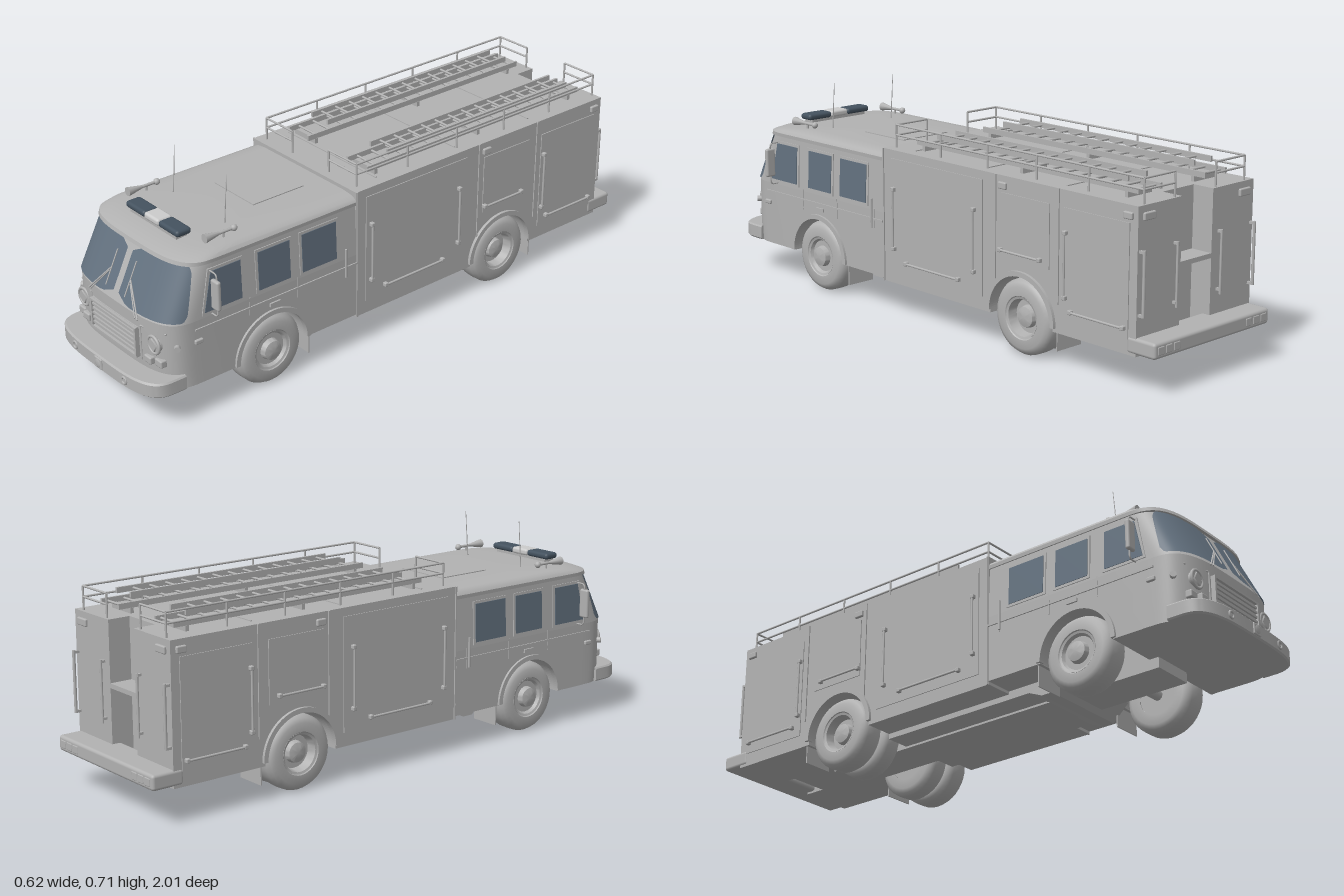
import * as THREE from 'three';
import { toCreasedNormals } from 'three/addons/utils/BufferGeometryUtils.js';
import { RoundedBoxGeometry } from 'three/addons/geometries/RoundedBoxGeometry.js';

const material = (name, color, side = THREE.FrontSide) => {
  const m = new THREE.MeshStandardMaterial({ color, side });
  m.name = name;
  return m;
};

export function createModel() {
  const root = new THREE.Group();
  root.name = 'fireEngine';
  const paint = material('grey paint', 0xb2b2b2);
  const glass = material('blue grey glass', 0x63717f, THREE.DoubleSide);
  const lens = material('dark blue lens', 0x44525f);
  const clear = material('clear lens', 0xcccccc);
  const N = 3.5, DEPTH = 0.14, SEG = 40;

  const add = (name, geo, mat = paint, x = 0, y = 0, z = 0) => {
    const m = new THREE.Mesh(geo, mat);
    m.name = name;
    m.position.set(x, y, z);
    root.add(m);
    return m;
  };
  const box = (name, x0, x1, y0, y1, z0, z1, mat = paint) =>
    add(name, new THREE.BoxGeometry(Math.abs(x1 - x0), y1 - y0, Math.abs(z1 - z0)), mat, (x0 + x1) / 2, (y0 + y1) / 2, (z0 + z1) / 2);
  const rounded = (name, w, h, d, r, x, y, z, mat = paint) =>
    add(name, new RoundedBoxGeometry(w, h, d, 2, r), mat, x, y, z);
  const bar = (name, a, b, r = 0.003, r2 = r, mat = paint) => {
    const p = new THREE.Vector3(...a), d = new THREE.Vector3(...b).sub(p);
    const m = add(name, new THREE.CylinderGeometry(r2, r, d.length(), 10), mat);
    m.position.copy(p).addScaledVector(d, 0.5);
    m.quaternion.setFromUnitVectors(new THREE.Vector3(0, 1, 0), d.normalize());
    return m;
  };
  const both = (fn) => [1, -1].forEach(fn);

  // Curved plan outline of the nose: half width w, foremost point zf
  const nosePoint = (t, w, zf, depth = DEPTH) => {
    const c = Math.cos(t), s = Math.max(0, Math.sin(t));
    return [Math.sign(c) * w * Math.abs(c) ** (2 / N), zf - depth + depth * s ** (2 / N)];
  };
  const cabAt = (y) => {
    const k = THREE.MathUtils.clamp((y - 0.34) / 0.175, 0, 1);
    return { w: 0.262 - 0.007 * k, zf: 0.93 - 0.085 * k };
  };
  const frontZ = (x, y) => {
    const { w, zf } = cabAt(y);
    return zf - DEPTH + DEPTH * (1 - (Math.abs(x) / w) ** N) ** (1 / N);
  };

  // Solid stacked from plan outlines, each level [y, w, zf, zb, depth]
  const loft = (name, levels) => {
    const rings = levels.map(([y, w, zf, zb, depth]) => {
      const r = [[w, y, zb]];
      for (let i = 0; i <= SEG; i++) {
        const [x, z] = nosePoint(Math.PI * i / SEG, w, zf, depth);
        r.push([x, y, z]);
      }
      r.push([-w, y, zb]);
      return r;
    });
    const pos = [], tri = (...p) => p.forEach((q) => pos.push(...q));
    const n = rings[0].length, top = rings.length - 1;
    const mid = (l) => [0, l[0], (l[2] + l[3]) / 2];
    for (let i = 0; i < n; i++) {
      const j = (i + 1) % n;
      for (let k = 0; k < top; k++) {
        tri(rings[k][i], rings[k + 1][j], rings[k][j]);
        tri(rings[k][i], rings[k + 1][i], rings[k + 1][j]);
      }
      tri(mid(levels[top]), rings[top][j], rings[top][i]);
      tri(mid(levels[0]), rings[0][i], rings[0][j]);
    }
    const g = new THREE.BufferGeometry();
    g.setAttribute('position', new THREE.Float32BufferAttribute(pos, 3));
    return add(name, toCreasedNormals(g, 0.6));
  };

  // Extrude a shape drawn in (-z, y) across x, from x0 to x0 + width
  const across = (shape, x0, width) =>
    new THREE.ExtrudeGeometry(shape, { depth: width, bevelEnabled: false, curveSegments: 28 }).rotateY(Math.PI / 2).translate(x0, 0, 0);
  const archedSide = (z0, z1, zw, y0, y1, r = 0.136, cy = 0.123) => {
    const s = new THREE.Shape(), c = -zw;
    s.moveTo(-z0, y0).lineTo(c - r, y0).lineTo(c - r, cy);
    s.absarc(c, cy, r, Math.PI, 0, true);
    s.lineTo(c + r, y0).lineTo(-z1, y0).lineTo(-z1, y1).lineTo(-z0, y1);
    return s;
  };

  // Cab
  loft('cabNose', [[0.12, 0.262, 0.925, 0.68], [0.18, 0.262, 0.93, 0.68], [0.34, 0.262, 0.93, 0.68]]);
  add('cabLowerSides', across(archedSide(0.68, 0.19, 0.53, 0.12, 0.34), -0.262, 0.524));
  loft('cabUpper', [[0.34, 0.262, 0.93, 0.19], [0.515, 0.255, 0.845, 0.19]]);
  loft('cabRoof', [[0.513, 0.259, 0.857, 0.19], [0.525, 0.26, 0.853, 0.19], [0.535, 0.253, 0.825, 0.19],
    [0.542, 0.235, 0.775, 0.19], [0.546, 0.2, 0.7, 0.19]]);
  box('roofHatch', -0.1, 0.1, 0.545, 0.549, 0.27, 0.47);

  // Wrapped windscreen halves with rounded corners
  both((s) => {
    const U = 24, V = 12, pos = [], idx = [];
    for (let i = 0; i <= U; i++) for (let j = 0; j <= V; j++) {
      const u = i / U, e = Math.max(0, 1 - Math.min(u, 1 - u) / 0.1);
      const inset = 0.02 * (1 - Math.sqrt(1 - e * e));
      const y = THREE.MathUtils.lerp(0.347 + inset, 0.512 - inset, j / V);
      const { w, zf } = cabAt(y), k = (y - 0.345) / 0.17;
      const end = Math.asin(((0.845 - 0.045 * k - zf + DEPTH) / DEPTH) ** (N / 2));
      const start = Math.acos((0.013 / w) ** (N / 2));
      const [x, z] = nosePoint(THREE.MathUtils.lerp(start, end, u), w + 0.003, zf + 0.004);
      pos.push(s * x, y, z);
      if (i < U && j < V) {
        const a = i * (V + 1) + j, b = a + V + 1;
        if (s > 0) idx.push(a, b, a + 1, b, b + 1, a + 1);
        else idx.push(a, a + 1, b, b, a + 1, b + 1);
      }
    }
    const g = new THREE.BufferGeometry();
    g.setAttribute('position', new THREE.Float32BufferAttribute(pos, 3));
    g.setIndex(idx);
    g.computeVertexNormals();
    add('windscreen', g, glass);
  });

  // Side windows with frames, leaning with the cab sides
  const leaningPlate = (name, s, zf0, zf1, zb, y0, y1, off, mat) => {
    const sh = new THREE.Shape([[-zf0, y0], [-zb, y0], [-zb, y1], [-zf1, y1]].map((p) => new THREE.Vector2(...p)));
    const g = across(sh, s > 0 ? 0.262 + off - 0.006 : -0.262 - off, 0.006), p = g.attributes.position;
    for (let i = 0; i < p.count; i++) p.setX(i, p.getX(i) - s * 0.04 * (p.getY(i) - 0.34));
    g.computeVertexNormals();
    add(name, g, mat);
  };
  both((s) => [[0.785, 0.755, 0.645], [0.58, 0.58, 0.458], [0.41, 0.41, 0.274]].forEach(([a, b, c]) => {
    leaningPlate('windowFrame', s, a + 0.009, b + 0.009, c - 0.009, 0.349, 0.496, 0.003, paint);
    leaningPlate('sideWindow', s, a, b, c, 0.358, 0.487, 0.005, glass);
  }));

  // Bumper and its lamps
  loft('frontBumper', [[0.12, 0.26, 0.995, 0.86, 0.11], [0.125, 0.264, 1, 0.86, 0.11], [0.165, 0.264, 1, 0.86, 0.11], [0.17, 0.26, 0.995, 0.86, 0.11]]);
  rounded('bumperPlate', 0.04, 0.038, 0.012, 0.004, 0, 0.145, 0.998);
  add('bumperSiren', new THREE.SphereGeometry(0.015, 16, 10).scale(1, 1, 0.4), paint, 0, 0.145, 1.003).scale.z = 0.5;
  both((s) => add('bumperLamp', new THREE.TorusGeometry(0.011, 0.004, 8, 16), paint, s * 0.133, 0.145, 0.997));

  // Grille
  const gz = 0.93;
  box('grilleBack', -0.12, 0.12, 0.2, 0.3, gz - 0.02, gz + 0.003);
  both((s) => box('grilleSide', s * 0.114, s * 0.122, 0.197, 0.299, gz - 0.01, gz + 0.012));
  for (const y of [0.197, 0.292]) box('grilleEdge', -0.122, 0.122, y, y + 0.007, gz - 0.01, gz + 0.012);
  for (let i = 0; i < 5; i++) box('grilleSlat', -0.114, 0.114, 0.213 + i * 0.016, 0.22 + i * 0.016, gz, gz + 0.009);

  both((s) => {
    // Headlamp cluster
    const at = (x, y) => frontZ(x, y);
    const hz = at(0.185, 0.265);
    add('headlampRing', new THREE.TorusGeometry(0.028, 0.005, 10, 28), paint, s * 0.187, 0.265, hz + 0.003);
    add('headlamp', new THREE.CylinderGeometry(0.026, 0.026, 0.02, 24).rotateX(Math.PI / 2), paint, s * 0.187, 0.265, hz - 0.005);
    add('headlampLens', new THREE.CylinderGeometry(0.02, 0.024, 0.006, 4).rotateX(Math.PI / 2), paint, s * 0.187, 0.265, hz + 0.006).rotation.z = 0.3;
    for (const x of [0.166, 0.205]) rounded('turnLamp', 0.035, 0.025, 0.024, 0.005, s * x, 0.208, at(x, 0.2));
    bar('clusterTrim', [s * 0.13, 0.309, at(0.13, 0.3)], [s * 0.225, 0.309, at(0.225, 0.3)]);
    bar('clusterTrim', [s * 0.13, 0.309, at(0.13, 0.3)], [s * 0.13, 0.19, at(0.13, 0.3)]);
    bar('cornerLamp', [s * 0.24, 0.266, 0.872], [s * 0.258, 0.266, 0.885], 0.01);
    rounded('sideMarker', 0.012, 0.015, 0.03, 0.004, s * 0.264, 0.27, 0.81);

    // Wiper
    const wz = (x, y) => at(x, y) + 0.009;
    bar('wiperArm', [s * 0.13, 0.33, wz(0.13, 0.33)], [s * 0.052, 0.42, wz(0.052, 0.42)], 0.0025);
    bar('wiperArm', [s * 0.118, 0.332, wz(0.118, 0.33)], [s * 0.056, 0.41, wz(0.056, 0.41)], 0.002);
    bar('wiperBlade', [s * 0.05, 0.37, wz(0.05, 0.37)], [s * 0.05, 0.475, wz(0.05, 0.475)], 0.002);

    // Mirror on its bracket
    rounded('mirror', 0.037, 0.1, 0.016, 0.007, s * 0.291, 0.422, 0.76);
    const path = new THREE.CatmullRomCurve3([[0.255, 0.49], [0.285, 0.49], [0.292, 0.48], [0.292, 0.355], [0.285, 0.346], [0.258, 0.346]]
      .map(([x, y]) => new THREE.Vector3(s * x, y, 0.757)), false, 'catmullrom', 0.1);
    add('mirrorBracket', new THREE.TubeGeometry(path, 32, 0.0028, 6));

    // Cab side trim, step handle and roof fittings
    box('cabTrim', s * 0.258, s * 0.266, 0.307, 0.313, 0.19, 0.82);
    for (const z of [0.615, 0.43, 0.235]) box('cabDoorSeam', s * 0.258, s * 0.264, 0.275, 0.345, z - 0.002, z + 0.002);
    bar('cabHandle', [s * 0.27, 0.28, 0.24], [s * 0.27, 0.38, 0.24], 0.004);
    box('doorLatch', s * 0.26, s * 0.268, 0.284, 0.296, 0.5, 0.54);
    bar('antenna', [s * 0.133, 0.54, 0.605], [s * 0.133, 0.705, 0.592], 0.002, 0.001);
    bar('airHorn', [s * 0.2, 0.562, 0.62], [s * 0.2, 0.562, 0.675], 0.005);
    bar('airHornBell', [s * 0.2, 0.562, 0.675], [s * 0.2, 0.562, 0.73], 0.005, 0.015);
    add('airHornEnd', new THREE.SphereGeometry(0.011, 12, 8), paint, s * 0.2, 0.562, 0.62);
    bar('airHornFoot', [s * 0.2, 0.535, 0.66], [s * 0.2, 0.56, 0.66], 0.004);

    // Light bar ends
    rounded('lightBarLens', 0.1, 0.022, 0.055, 0.01, s * 0.086, 0.564, 0.755, lens);
  });
  rounded('lightBarCentre', 0.074, 0.023, 0.056, 0.009, 0, 0.564, 0.755, clear);
  box('lightBarBase', -0.12, 0.12, 0.535, 0.557, 0.735, 0.775);

  // Equipment body with a rear recess
  const body = archedSide(0.19, -0.85, -0.455, 0.11, 0.558);
  add('equipmentBody', across(body, -0.26, 0.52));
  both((s) => box('rearColumn', s * 0.07, s * 0.26, 0.11, 0.558, -0.85, -0.925));
  box('recessShelf', -0.07, 0.07, 0.345, 0.36, -0.85, -0.925);
  rounded('rearStep', 0.526, 0.05, 0.11, 0.01, 0, 0.142, -0.945);
  for (const z of [-0.27, 0.07, -0.61]) box('roofSeam', -0.22, 0.22, 0.556, 0.561, z, z + 0.006);

  both((s) => {
    // Locker doors, seams and handles
    const plate = (name, z0, z1, y0, y1, d) => box(name, s * 0.258, s * (0.26 + d), y0, y1, z0, z1);
    plate('lockerDoor', 0.15, -0.285, 0.155, 0.53, 0.003);
    plate('lockerDoor', -0.365, -0.575, 0.3, 0.505, 0.003);
    plate('lockerDoor', -0.635, -0.895, 0.155, 0.505, 0.003);
    for (const z of [0.188, -0.34, -0.61]) plate('bodySeam', z, z - 0.005, z === -0.34 || z === -0.61 ? 0.2 : 0.11, 0.558, 0.004);
    const handle = (z0, y0, z1, y1) => {
      bar('lockerHandle', [s * 0.272, y0, z0], [s * 0.272, y1, z1], 0.004);
      for (const [z, y] of [[z0, y0], [z1, y1]]) rounded('handleMount', 0.018, 0.014, 0.014, 0.003, s * 0.267, y, z);
    };
    handle(0.13, 0.23, 0.13, 0.43);
    handle(-0.25, 0.23, -0.25, 0.43);
    handle(0.07, 0.19, -0.18, 0.19);
    handle(-0.37, 0.325, -0.54, 0.325);
    handle(-0.645, 0.23, -0.645, 0.43);
    handle(-0.67, 0.19, -0.88, 0.19);
    for (const z of [-0.375, -0.89]) rounded('sideLamp', 0.014, 0.022, 0.035, 0.004, s * 0.262, 0.527, z);
    bar('rearGrabRail', [s * 0.1, 0.23, -0.938], [s * 0.1, 0.43, -0.938], 0.004);
    for (const y of [0.24, 0.42]) box('grabRailMount', s * 0.095, s * 0.105, y, y + 0.008, -0.92, -0.938);
    bar('cornerGrabRail', [s * 0.25, 0.23, -0.942], [s * 0.25, 0.43, -0.942], 0.005);
    for (const y of [0.23, 0.42]) box('grabRailMount', s * 0.245, s * 0.255, y, y + 0.008, -0.92, -0.942);
    rounded('rearTopLamp', 0.05, 0.024, 0.014, 0.004, s * 0.215, 0.525, -0.926);
    for (const x of [0.165, 0.2, 0.235]) rounded('tailLamp', 0.028, 0.026, 0.01, 0.003, s * x, 0.142, -0.997);

    // Roof guard rail
    for (const y of [0.6, 0.634]) {
      bar('guardRail', [s * 0.226, y, 0.16], [s * 0.226, y, -0.915], 0.0035);
      for (const z of [0.16, -0.915]) bar('guardRailEnd', [s * 0.226, y, z], [s * 0.092, y, z], 0.0035);
    }
    for (let i = 0; i < 6; i++) bar('guardPost', [s * 0.226, 0.555, 0.16 - i * 0.215], [s * 0.226, 0.634, 0.16 - i * 0.215], 0.0035);
    for (const z of [0.16, -0.915]) bar('guardPost', [s * 0.092, 0.555, z], [s * 0.092, 0.634, z], 0.0035);

    // Two-section ladder
    [[0.1, 0.195, 0.575, 0.09, -0.87], [0.108, 0.187, 0.604, 0, -0.82]].forEach(([x0, x1, y, z0, z1]) => {
      for (const x of [x0, x1]) box('ladderRail', s * (x - 0.004), s * (x + 0.004), y, y + 0.018, z0, z1);
      for (let z = z0 - 0.04; z > z1; z -= 0.06) bar('ladderRung', [s * x0, y + 0.009, z], [s * x1, y + 0.009, z], 0.004);
    });
    for (const z of [0.05, -0.4, -0.83]) box('ladderSupport', s * 0.095, s * 0.2, 0.555, 0.576, z, z + 0.012);
  });

  // Wheels: tyre and dished rim turned around the x axis
  const turned = (pts, s) => new THREE.LatheGeometry(pts.map((p) => new THREE.Vector2(...p)), 36).rotateZ(-s * Math.PI / 2);
  const wheel = (name, s, x, z, width, dish) => {
    const h = width / 2;
    add(name + 'Tyre', toCreasedNormals(turned([[0.066, -h], [0.098, -h], [0.112, -h * 0.85], [0.121, -h * 0.55], [0.122, 0],
      [0.121, h * 0.55], [0.112, h * 0.85], [0.098, h], [0.07, h], [0.066, h * 0.9]], s), 0.7), paint, s * x, 0.122, z);
    add(name + 'Rim', toCreasedNormals(turned([[0, -h * 0.9], [0.067, -h * 0.9], [0.067, h * 0.95], [0.06, h * 0.9], [0.054, h - dish],
      [0.036, h - dish], [0.032, h - dish + 0.018], [0.018, h - dish + 0.022], [0, h - dish + 0.024]], s), 0.5), paint, s * x, 0.122, z);
  };
  both((s) => {
    wheel('frontWheel', s, 0.21, 0.53, 0.098, 0.015);
    wheel('rearOuterWheel', s, 0.215, -0.455, 0.09, 0.035);
    wheel('rearInnerWheel', s, 0.12, -0.455, 0.08, 0.035);
    // Raised arch lips and mud flaps
    for (const z of [0.53, -0.455]) {
      const lip = new THREE.Shape().absarc(-z, 0.123, 0.148, 0, Math.PI, false);
      lip.absarc(-z, 0.123, 0.132, Math.PI, 0, true);
      add('wheelArchLip', across(lip, s > 0 ? 0.25 : -0.27, 0.02));
      box('mudFlap', s * 0.15, s * 0.255, 0.05, 0.125, z - 0.147, z - 0.151);
    }
  });

  // Chassis
  for (const z of [0.53, -0.455]) bar('axle', [-0.2, 0.122, z], [0.2, 0.122, z], 0.018);
  box('chassisSpine', -0.075, 0.075, 0.085, 0.29, 0.7, -0.65);
  const under = new THREE.Shape([[-0.42, 0.125], [-0.36, 0.07], [-0.32, 0.07], [-0.27, 0.092], [0.32, 0.092], [0.32, 0.125]].map((p) => new THREE.Vector2(...p)));
  add('underTray', across(under, -0.16, 0.32));
  return root;
}
